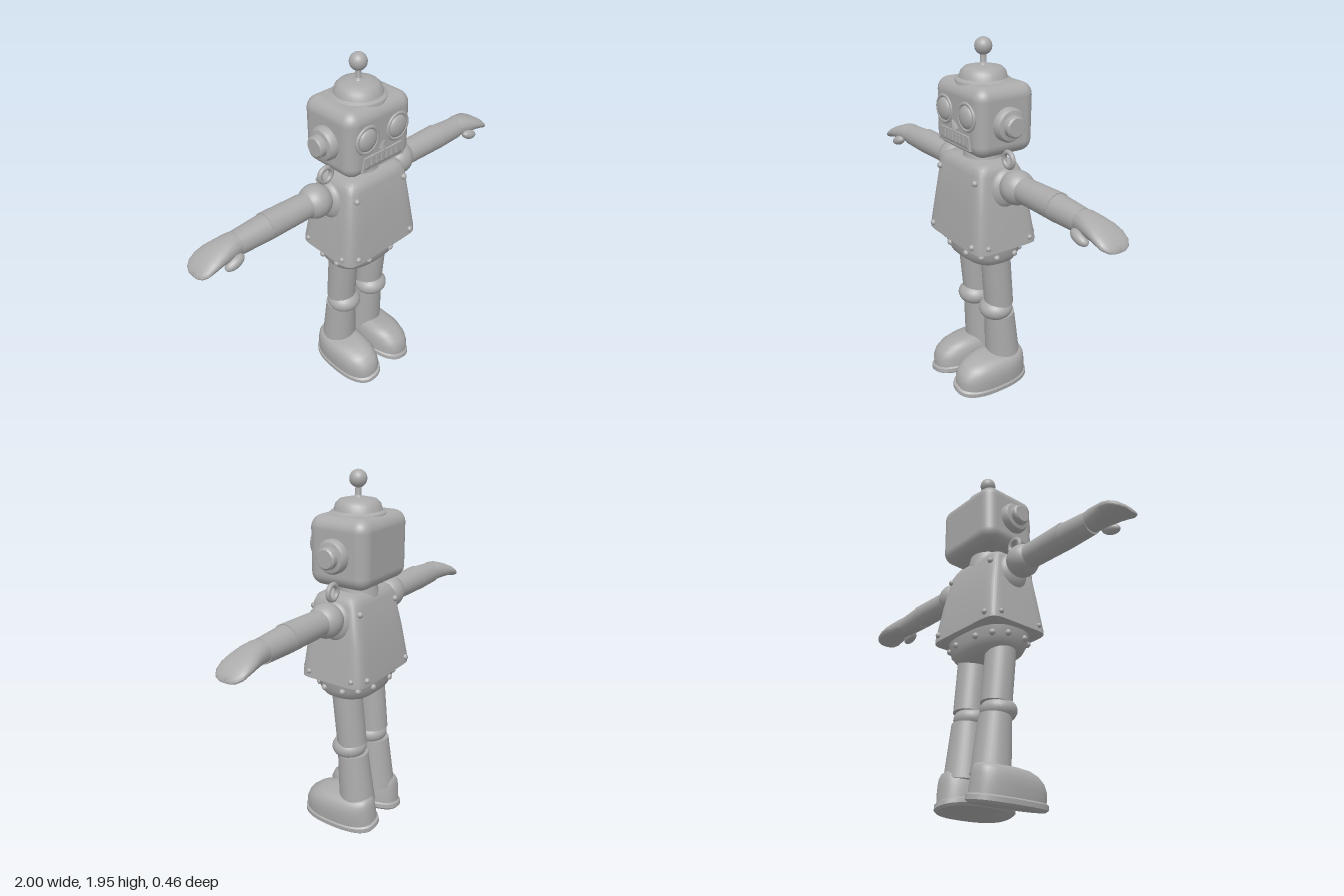
import * as THREE from 'three';
import { toCreasedNormals } from 'three/addons/utils/BufferGeometryUtils.js';
import { RoundedBoxGeometry } from 'three/addons/geometries/RoundedBoxGeometry.js';

const grey = new THREE.MeshStandardMaterial({ color: 0xaaaaaa });
grey.name = 'grey';

// Capped skin through superellipse sections stacked along y: [y, x, z, halfX, halfZ, power]
function loft(sections, seg = 48) {
  const pos = [], idx = [], last = sections.length - 1;
  for (const [y, x, z, a, b, n] of sections) {
    for (let j = 0; j < seg; j++) {
      const t = (j / seg) * Math.PI * 2, c = Math.cos(t), s = Math.sin(t);
      pos.push(x + a * Math.sign(c) * Math.abs(c) ** (2 / n), y, z + b * Math.sign(s) * Math.abs(s) ** (2 / n));
    }
  }
  const base = pos.length / 3;
  for (const e of [sections[0], sections[last]]) pos.push(e[1], e[0], e[2]);
  for (let j = 0; j < seg; j++) {
    const k = (j + 1) % seg;
    for (let i = 0; i < last; i++) {
      const a = i * seg + j, b = i * seg + k, c = a + seg, d = b + seg;
      idx.push(a, c, b, b, c, d);
    }
    idx.push(base, j, k, base + 1, last * seg + k, last * seg + j);
  }
  const g = new THREE.BufferGeometry();
  g.setAttribute('position', new THREE.Float32BufferAttribute(pos, 3));
  g.setIndex(idx);
  return toCreasedNormals(g, 0.7);
}

const lathe = (pts) => toCreasedNormals(new THREE.LatheGeometry(pts.map(p => new THREE.Vector2(...p)), 32), 0.7);

function add(parent, name, geo, x = 0, y = 0, z = 0) {
  const m = new THREE.Mesh(geo, grey);
  m.name = name;
  m.position.set(x, y, z);
  parent.add(m);
  return m;
}

function ball(parent, name, r, x, y, z, sx = 1, sy = 1, sz = 1) {
  const m = add(parent, name, new THREE.SphereGeometry(r, 28, 18), x, y, z);
  m.scale.set(sx, sy, sz);
  return m;
}

// Tapered rod from one point to another
function rod(parent, name, from, to, r0, r1) {
  const a = new THREE.Vector3(...from), b = new THREE.Vector3(...to), d = b.clone().sub(a);
  const m = add(parent, name, new THREE.CylinderGeometry(r1, r0, d.length(), 32));
  m.position.copy(a).add(b).multiplyScalar(0.5);
  m.quaternion.setFromUnitVectors(new THREE.Vector3(0, 1, 0), d.normalize());
  return m;
}

function makeHead() {
  const g = new THREE.Group();
  g.name = 'head';
  add(g, 'skull', new RoundedBoxGeometry(0.42, 0.35, 0.34, 6, 0.065), 0, 1.575, -0.03);
  add(g, 'cap', lathe([[0.145, 1.73], [0.14, 1.75], [0.122, 1.76], [0.113, 1.79], [0.095, 1.808], [0.06, 1.816],
    [0.025, 1.82], [0.016, 1.83], [0.014, 1.88]]), 0, 0, -0.025);
  ball(g, 'antennaBall', 0.044, 0, 1.908, -0.025);
  for (const s of [-1, 1]) {
    // Ear: wide flange with a smaller knob
    const ear = add(g, 'ear', lathe([[0.085, 0], [0.085, 0.03], [0.075, 0.045], [0.055, 0.05], [0.053, 0.075],
      [0.045, 0.083], [0, 0.083]]), s * 0.205, 1.567, -0.025);
    ear.rotation.z = -s * Math.PI / 2;
    add(g, 'eyeRing', new THREE.TorusGeometry(0.066, 0.01, 10, 32), s * 0.1, 1.6, 0.138);
    ball(g, 'eyeball', 0.058, s * 0.1, 1.6, 0.138, 1, 1, 0.45);
  }
  const nose = add(g, 'nose', new THREE.ConeGeometry(0.026, 0.05, 4), 0, 1.55, 0.148);
  nose.rotation.x = 0.45;
  // Mouth frame with upright teeth
  const outer = new THREE.Shape([[-0.125, 0.036], [0.125, 0.036], [0.142, -0.036], [-0.142, -0.036]]
    .map(p => new THREE.Vector2(...p)));
  outer.holes.push(new THREE.Path([[-0.113, 0.025], [0.113, 0.025], [0.126, -0.025], [-0.126, -0.025]]
    .map(p => new THREE.Vector2(...p))));
  add(g, 'mouthFrame', new THREE.ExtrudeGeometry(outer, { depth: 0.035, bevelEnabled: false }), 0, 1.475, 0.115);
  for (let i = -3; i <= 3; i++) add(g, 'tooth', new RoundedBoxGeometry(0.023, 0.05, 0.03, 2, 0.006), i * 0.034, 1.474, 0.13);
  return g;
}

function makeBody() {
  const g = new THREE.Group();
  g.name = 'body';
  add(g, 'neck', new THREE.CylinderGeometry(0.09, 0.11, 0.1, 32), 0, 1.38, -0.025);
  add(g, 'torso', loft([
    [0.905, 0, -0.018, 0.235, 0.175, 6], [0.915, 0, -0.018, 0.256, 0.193, 8], [0.94, 0, -0.018, 0.253, 0.191, 9],
    [1.13, 0, -0.014, 0.226, 0.165, 9], [1.31, 0, -0.006, 0.2, 0.135, 9],
    [1.345, 0, -0.004, 0.188, 0.122, 7], [1.36, 0, -0.004, 0.165, 0.1, 5]], 64));
  add(g, 'pelvis', loft([
    [0.78, 0, -0.02, 0.1, 0.075, 2.3], [0.79, 0, -0.02, 0.16, 0.11, 2.4], [0.815, 0, -0.02, 0.2, 0.14, 2.5],
    [0.855, 0, -0.02, 0.224, 0.156, 2.6], [0.915, 0, -0.02, 0.23, 0.162, 2.8]]));
  // Rivets round the pelvis and in the corners of the torso
  for (let i = 0; i < 12; i++) {
    const t = ((i + 0.5) / 12) * Math.PI * 2, c = Math.cos(t), s = Math.sin(t);
    ball(g, 'pelvisRivet', 0.017, 0.224 * Math.sign(c) * Math.abs(c) ** 0.77, 0.865,
      -0.02 + 0.157 * Math.sign(s) * Math.abs(s) ** 0.77);
  }
  for (const s of [-1, 1]) {
    for (const [x, y, zf, zb] of [[0.165, 1.28, 0.135, -0.147], [0.19, 0.95, 0.171, -0.207]]) {
      ball(g, 'frontRivet', 0.016, s * x, y, zf);
      ball(g, 'backRivet', 0.016, s * x, y, zb);
    }
    for (const z of [-0.15, 0.11]) ball(g, 'sideRivet', 0.014, s * 0.25, 0.95, z);
    add(g, 'neckRing', new THREE.TorusGeometry(0.038, 0.013, 10, 28), s * 0.223, 1.39, -0.025);
    ball(g, 'shoulderCup', 0.1, s * 0.2, 1.235, -0.025, 0.5, 1.05, 0.9);
  }
  return g;
}

function makeArm(s) {
  const g = new THREE.Group();
  g.name = s > 0 ? 'leftArm' : 'rightArm';
  const z = -0.032;
  ball(g, 'shoulder', 0.088, s * 0.29, 1.265, z);
  rod(g, 'upperArm', [s * 0.35, 1.268, z], [s * 0.6, 1.27, z], 0.066, 0.07);
  rod(g, 'forearm', [s * 0.595, 1.267, z], [s * 0.765, 1.263, z], 0.068, 0.06);
  // Mitten hand drooping to the tip: [x, top, bottom, z, half width]
  const hand = loft([
    [0.74, 1.318, 1.212, z, 0.055], [0.79, 1.322, 1.215, z, 0.063], [0.84, 1.314, 1.215, z, 0.072],
    [0.89, 1.297, 1.217, -0.036, 0.082], [0.93, 1.28, 1.212, -0.036, 0.085], [0.965, 1.257, 1.203, -0.036, 0.08],
    [0.988, 1.235, 1.2, -0.036, 0.062], [1, 1.217, 1.203, -0.036, 0.035]]
    .map(([x, t, b, c, w]) => [x, -s * (t + b) / 2, c, (t - b) / 2, w, 2.2]), 32);
  hand.rotateZ(-s * Math.PI / 2);
  add(g, 'hand', hand);
  const thumb = ball(g, 'thumb', 0.03, s * 0.825, 1.225, 0.035, 1.8, 0.9, 1);
  thumb.rotation.z = s * -0.35;
  return g;
}

function makeLeg(s) {
  const g = new THREE.Group();
  g.name = s > 0 ? 'leftLeg' : 'rightLeg';
  rod(g, 'thigh', [s * 0.108, 0.52, -0.06], [s * 0.112, 0.83, -0.03], 0.08, 0.08);
  ball(g, 'knee', 0.094, s * 0.105, 0.49, -0.042, 1, 0.7, 1);
  rod(g, 'shin', [s * 0.103, 0.16, -0.093], [s * 0.106, 0.455, -0.066], 0.099, 0.083);
  // Boot: flared sole below a rounded upper, rolled outward: [y, toe, heel, half width]
  const boot = loft([
    [0, 0.215, -0.218, 0.105], [0.012, 0.232, -0.228, 0.117], [0.035, 0.23, -0.225, 0.117], [0.042, 0.217, -0.214, 0.11],
    [0.09, 0.218, -0.21, 0.112], [0.13, 0.2, -0.205, 0.108], [0.16, 0.165, -0.2, 0.098],
    [0.18, 0.115, -0.19, 0.08], [0.188, 0.06, -0.175, 0.055]]
    .map(([y, f, b, w]) => [y, -s * y * 0.09, (f + b) / 2, w, (f - b) / 2, 2.5]));
  add(g, 'boot', boot, s * 0.117, 0.023, 0).rotation.z = -s * 0.16;
  return g;
}

export function createModel() {
  const robot = new THREE.Group();
  robot.name = 'robot';
  robot.add(makeHead(), makeBody());
  for (const s of [-1, 1]) robot.add(makeArm(s), makeLeg(s));
  return robot;
}
